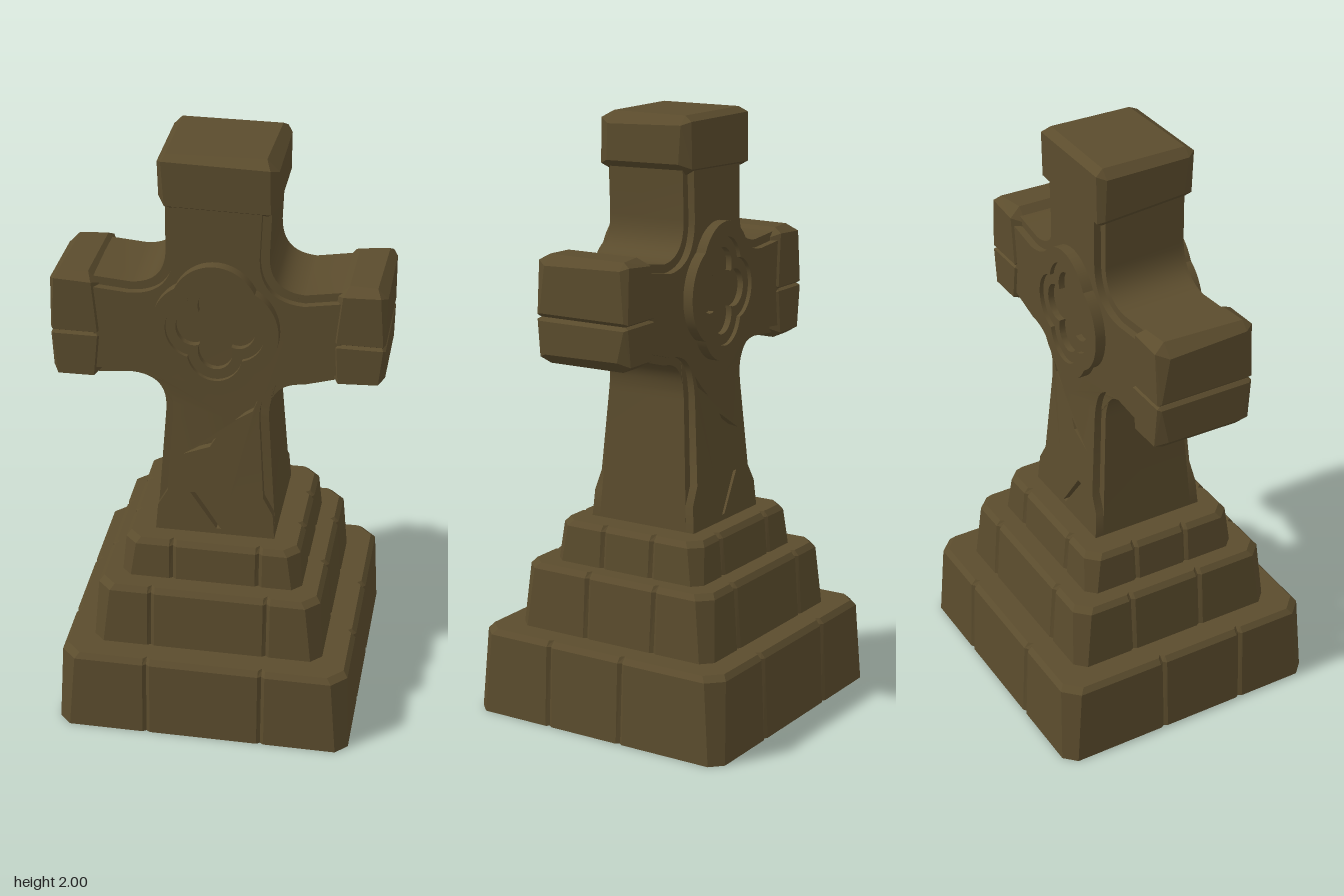
import * as THREE from 'three';
import { toCreasedNormals } from 'three/addons/utils/BufferGeometryUtils.js';
import { ConvexGeometry } from 'three/addons/geometries/ConvexGeometry.js';

const stone = new THREE.MeshStandardMaterial({ color: 0x5b4c2d, side: THREE.DoubleSide });
stone.name = 'mossy brown stone';

function add(group, name, geometry) {
  const mesh = new THREE.Mesh(geometry, stone);
  mesh.name = name;
  group.add(mesh);
  return mesh;
}

// One level of the plinth: a rectangle with cut corners and two notched joints per side.
function ring(hx, hz, y, cut, joints, depth) {
  const pts = [];
  const side = (along, out, js, place) => {
    pts.push(place(-along + cut, out));
    for (const j of js) {
      pts.push(place(j - 0.012, out), place(j, out - depth), place(j + 0.012, out));
    }
    pts.push(place(along - cut, out));
  };
  side(hx, hz, joints[0], (a, o) => [a, y, o]);
  side(hz, hx, joints[1], (a, o) => [o, y, -a]);
  side(hx, hz, joints[2], (a, o) => [-a, y, -o]);
  side(hz, hx, joints[3], (a, o) => [-o, y, a]);
  return pts;
}

// Hollow stepped plinth, open underneath.
function plinthGeometry() {
  const tiers = [
    { y0: 0, y1: 0.29, hx: 0.495, hz: 0.478, lean: 0.012, cut: 0.05,
      joints: [[-0.19, 0.2], [-0.18, 0.1], [-0.2, 0.19], [-0.1, 0.2]] },
    { y0: 0.29, y1: 0.51, hx: 0.388, hz: 0.374, lean: 0.014, cut: 0.045,
      joints: [[-0.19, 0.2], [-0.1, 0.16], [-0.2, 0.2], [-0.16, 0.1]] },
    { y0: 0.51, y1: 0.65, hx: 0.304, hz: 0.284, lean: 0.01, cut: 0.04,
      joints: [[-0.13, 0.16], [-0.09, 0.1], [-0.15, 0.14], [-0.1, 0.09]] },
  ];
  const rings = [];
  for (const t of tiers) {
    const hx = t.hx - t.lean, hz = t.hz - t.lean;
    rings.push(ring(t.hx, t.hz, t.y0, t.cut * 0.8, t.joints, 0.008));
    rings.push(ring(hx, hz, t.y1 - 0.018, t.cut, t.joints, 0.01));
    rings.push(ring(hx - 0.015, hz - 0.015, t.y1, t.cut, t.joints, 0.014));
  }
  const pos = [];
  const n = rings[0].length;
  for (let r = 0; r < rings.length - 1; r++) {
    for (let i = 0; i < n; i++) {
      const k = (i + 1) % n, a = rings[r], b = rings[r + 1];
      pos.push(...a[i], ...a[k], ...b[k], ...a[i], ...b[k], ...b[i]);
    }
  }
  const top = rings[rings.length - 1];
  for (let i = 0; i < n; i++) pos.push(...top[i], ...top[(i + 1) % n], 0, 0.65, 0);
  const g = new THREE.BufferGeometry();
  g.setAttribute('position', new THREE.Float32BufferAttribute(pos, 3));
  g.computeVertexNormals();
  return g;
}

// Cross outline; d insets it, apart from the foot of the shaft.
function crossShape(d) {
  const s = new THREE.Shape();
  s.moveTo(-0.2, 0.651);
  if (d) s.lineTo(-0.193, 0.74).lineTo(-0.188 + d, 0.8);
  s.lineTo(-0.17 + d, 1.08);
  s.quadraticCurveTo(-0.16 + d, 1.21 + d, -0.28, 1.215 + d);
  s.lineTo(-0.4, 1.205 + d).lineTo(-0.4, 1.555 - d).lineTo(-0.28, 1.545 - d);
  s.quadraticCurveTo(-0.165 + d, 1.55 - d, -0.165 + d, 1.67);
  s.lineTo(-0.165 + d, 1.84).lineTo(0.172 - d, 1.84).lineTo(0.165 - d, 1.67);
  s.quadraticCurveTo(0.165 - d, 1.55 - d, 0.28, 1.545 - d);
  s.lineTo(0.4, 1.565 - d).lineTo(0.4, 1.255 + d).lineTo(0.28, 1.22 + d);
  s.quadraticCurveTo(0.16 - d, 1.215 + d, 0.17 - d, 1.08);
  if (d) s.lineTo(0.188 - d, 0.8).lineTo(0.193, 0.74);
  s.lineTo(0.2, 0.651);
  return s;
}

// Extrudes evenly about z = 0, thickening towards the foot of the shaft.
function slab(shape, halfDepth) {
  const g = new THREE.ExtrudeGeometry(shape, { depth: 2 * halfDepth, bevelEnabled: false, curveSegments: 12 });
  g.translate(0, 0, -halfDepth);
  const p = g.attributes.position;
  for (let i = 0; i < p.count; i++) {
    const t = Math.max(0, (1.15 - p.getY(i)) / 0.5);
    p.setZ(i, p.getZ(i) * (1 + 0.23 * t));
  }
  return toCreasedNormals(g, 0.5);
}

// Small seeded generator for uneven worn corners.
let seed = 7;
const random = () => (seed = (seed * 16807) % 2147483647) / 2147483647;

// Box with unevenly worn corners; seam marks a side that meets another piece.
function wornBlock(x0, x1, y0, y1, hz, seam = 0) {
  const pts = [];
  for (const sx of [-1, 1]) for (const sy of [-1, 1]) for (const sz of [-1, 1]) {
    const c = sy === seam ? 0.012 : 0.022 + 0.022 * random();
    const x = sx < 0 ? x0 : x1, y = sy < 0 ? y0 : y1, z = sz * hz;
    pts.push(
      new THREE.Vector3(x, y - sy * c, z - sz * c),
      new THREE.Vector3(x - sx * c, y, z - sz * c),
      new THREE.Vector3(x - sx * c * 0.6, y - sy * c * 0.6, z));
  }
  return new ConvexGeometry(pts);
}

// Four-lobed outline from circles set on the axes.
function quatrefoil(offset, radius, stretch) {
  const pts = [];
  for (let i = 0; i < 96; i++) {
    const a = (i / 96) * Math.PI * 2;
    const q = a - Math.round(a / (Math.PI / 2)) * (Math.PI / 2);
    const r = offset * Math.cos(q) + Math.sqrt(radius ** 2 - (offset * Math.sin(q)) ** 2);
    pts.push(new THREE.Vector2(r * Math.cos(a), r * Math.sin(a) * stretch));
  }
  return pts;
}

function frame(outer, inner, halfDepth) {
  const s = new THREE.Shape(outer);
  s.holes.push(new THREE.Path(inner));
  const g = new THREE.ExtrudeGeometry(s, { depth: 2 * halfDepth, bevelEnabled: false });
  g.translate(0, 1.42, -halfDepth);
  return toCreasedNormals(g, 0.5);
}

export function createModel() {
  const model = new THREE.Group();
  model.name = 'stoneCross';
  seed = 7;

  add(model, 'steppedPlinth', plinthGeometry());
  add(model, 'crossBody', slab(crossShape(0), 0.138));

  // Raised faces, with cracks cut through to the body
  const face = crossShape(0.028);
  const cracks = [
    [[-0.085, 0.8], [-0.065, 0.8], [0.02, 0.67], [0.005, 0.67]],
    [[-0.11, 0.94], [-0.02, 0.975], [0.0, 1.01], [-0.04, 0.985]],
    [[0.06, 1.08], [0.12, 1.12], [0.135, 1.16], [0.1, 1.12]],
  ];
  for (const c of cracks) face.holes.push(new THREE.Path(c.map(([x, y]) => new THREE.Vector2(x, y))));
  add(model, 'crossFaces', slab(face, 0.162));

  // End blocks; the arm ends are split by a crack
  add(model, 'topBlock', wornBlock(-0.187, 0.192, 1.81, 2, 0.172));
  add(model, 'rightArmBlockLower', wornBlock(-0.54, -0.38, 1.185, 1.36, 0.17, 1));
  add(model, 'rightArmBlockUpper', wornBlock(-0.54, -0.38, 1.36, 1.568, 0.17, -1));
  add(model, 'leftArmBlockLower', wornBlock(0.378, 0.54, 1.24, 1.39, 0.17, 1));
  add(model, 'leftArmBlockUpper', wornBlock(0.378, 0.54, 1.39, 1.588, 0.17, -1));

  // Four-lobed medallion on both faces
  const outer = quatrefoil(0.06, 0.145, 1.12);
  const middle = quatrefoil(0.07, 0.09, 1.12);
  const inner = quatrefoil(0.072, 0.056, 1.12);
  add(model, 'medallionRim', frame(outer, middle, 0.197));
  add(model, 'medallionInnerRim', frame(middle, inner, 0.183));

  return model;
}
